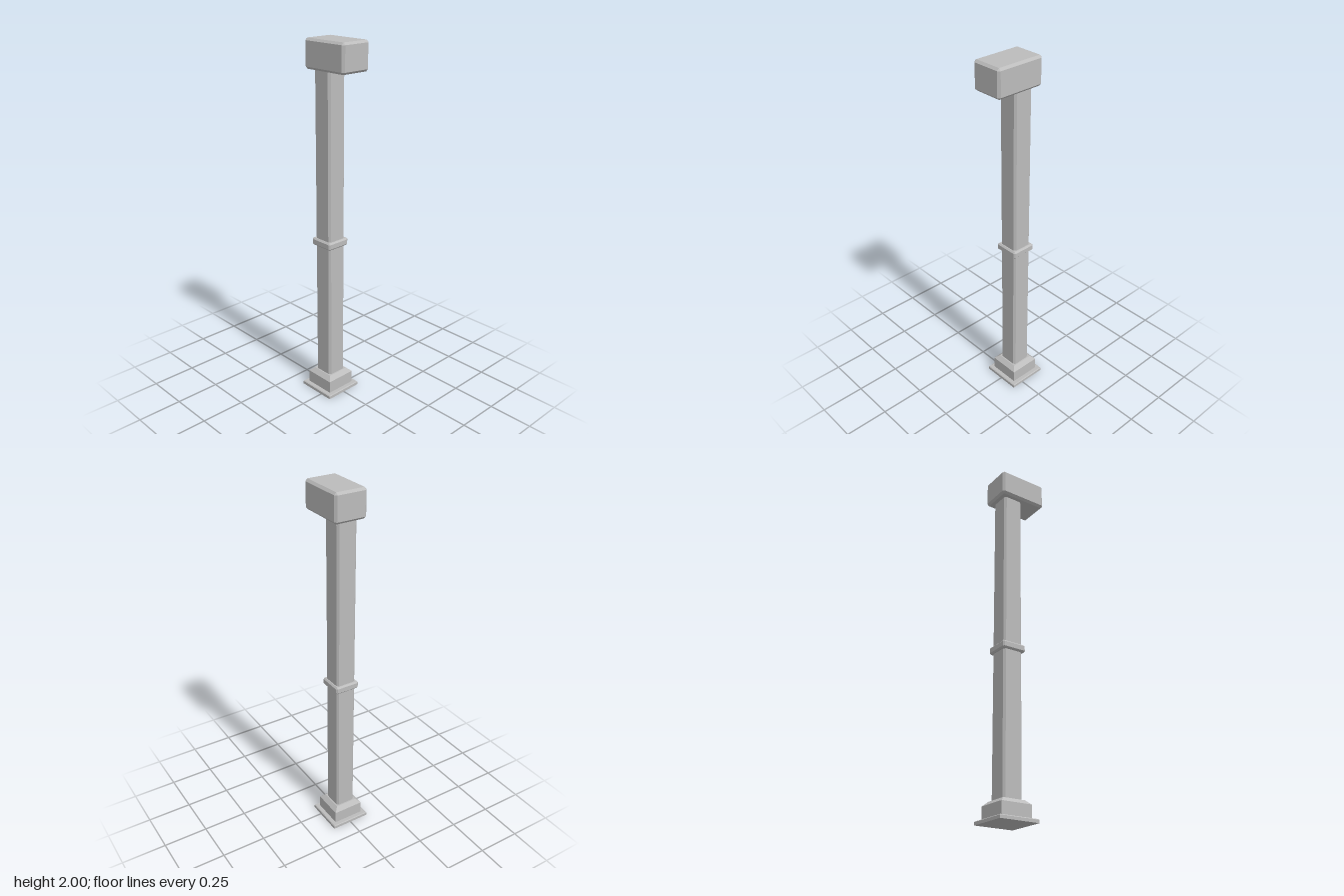
import * as THREE from 'three';

// Rectangle with cut corners, counter-clockwise seen from above
function section([y, hx, hz, c]) {
  return [
    [hx, -(hz - c)], [hx - c, -hz], [-(hx - c), -hz], [-hx, -(hz - c)],
    [-hx, hz - c], [-(hx - c), hz], [hx - c, hz], [hx, hz - c],
  ].map(([x, z]) => new THREE.Vector3(x, y, z));
}

// Closed solid through sections [y, halfWidth, halfDepth, cornerCut], bottom to top
function loft(sections) {
  const rings = sections.map(section);
  const pos = [];
  const tri = (a, b, c) => {
    const area = b.clone().sub(a).cross(c.clone().sub(a)).length();
    if (area > 1e-9) for (const p of [a, b, c]) pos.push(p.x, p.y, p.z);
  };
  for (let k = 0; k + 1 < rings.length; k++) {
    const lo = rings[k], up = rings[k + 1];
    for (let i = 0; i < 8; i++) {
      const j = (i + 1) % 8;
      tri(lo[i], lo[j], up[j]);
      tri(lo[i], up[j], up[i]);
    }
  }
  const bottom = rings[0], top = rings[rings.length - 1];
  for (let i = 1; i < 7; i++) {
    tri(top[0], top[i], top[i + 1]);
    tri(bottom[0], bottom[i + 1], bottom[i]);
  }
  const geo = new THREE.BufferGeometry();
  geo.setAttribute('position', new THREE.Float32BufferAttribute(pos, 3));
  geo.computeVertexNormals();
  return geo;
}

// Box with every edge chamfered
function chamferBox(y0, y1, hx, hz, c) {
  return loft([
    [y0, hx - c, hz - c, 0], [y0 + c, hx, hz, c],
    [y1 - c, hx, hz, c], [y1, hx - c, hz - c, 0],
  ]);
}

export function createModel() {
  const model = new THREE.Group();
  model.name = 'post';
  const grey = new THREE.MeshStandardMaterial({ color: 0xbcbcbc });
  grey.name = 'grey';

  const add = (name, geo, z) => {
    const mesh = new THREE.Mesh(geo, grey);
    mesh.name = name;
    mesh.position.z = z;
    model.add(mesh);
  };
  const postZ = -0.04;

  // Ground plate with a slight bevel
  add('basePlate', loft([
    [0, 0.113, 0.113, 0], [0.016, 0.113, 0.113, 0], [0.02, 0.109, 0.109, 0],
  ]), postZ);

  // Plinth with sloped shoulder
  add('plinth', loft([
    [0.02, 0.088, 0.088, 0], [0.09, 0.088, 0.088, 0], [0.112, 0.064, 0.064, 0],
  ]), postZ);

  // Square shaft with chamfered corners
  add('shaft', loft([[0.1, 0.057, 0.057, 0.011], [1.86, 0.057, 0.057, 0.011]]), postZ);

  // Band around the middle of the shaft
  add('collar', chamferBox(0.893, 0.935, 0.07, 0.07, 0.008), postZ);

  // Head block reaching forward over the shaft
  add('head', chamferBox(1.847, 2, 0.09, 0.141, 0.012), 0.01);

  return model;
}
